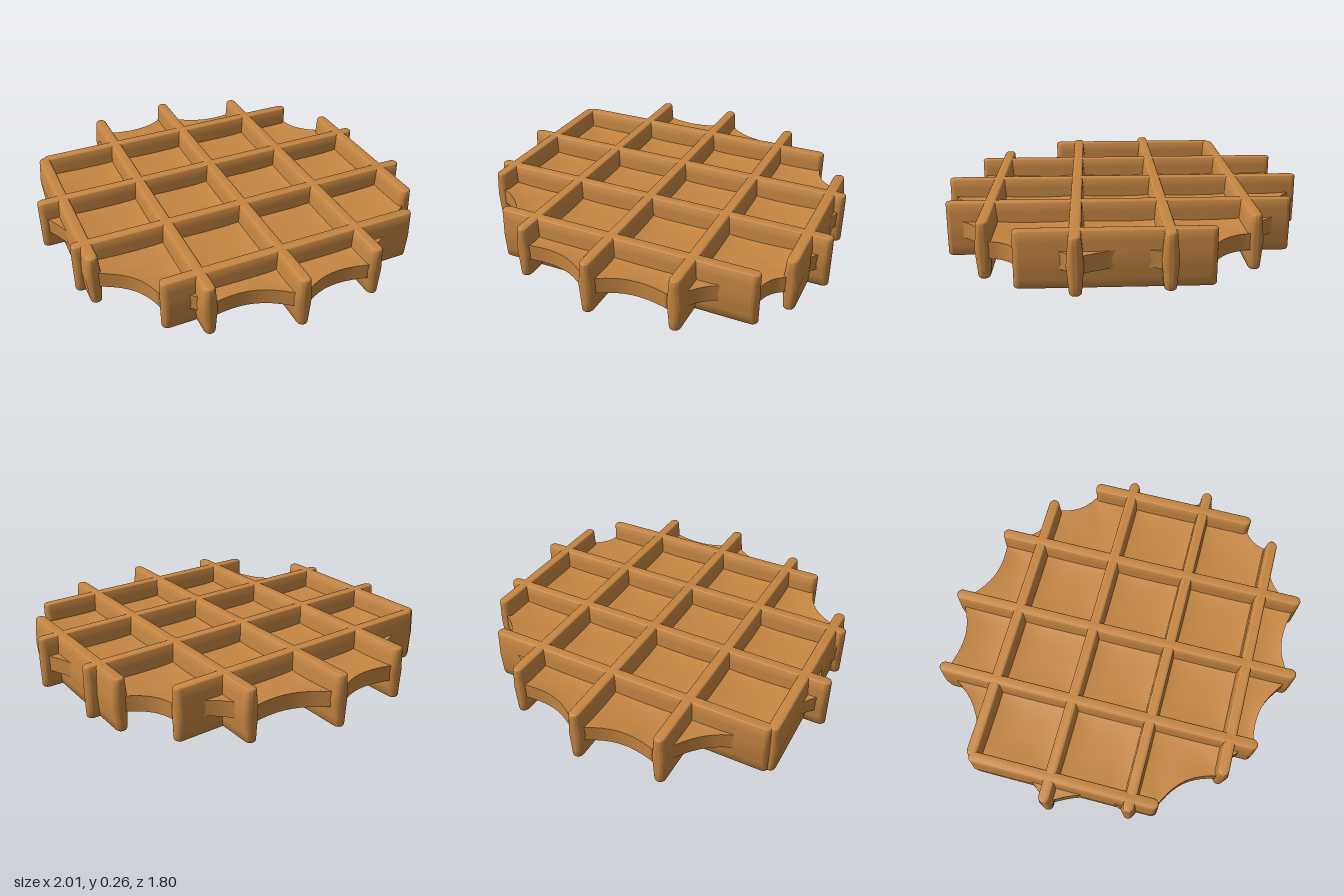
import * as THREE from 'three';
import { toCreasedNormals } from 'three/addons/utils/BufferGeometryUtils.js';
import { ParametricGeometry } from 'three/addons/geometries/ParametricGeometry.js';

const HEIGHT = 0.265, LOW = 0.095, HIGH = 0.175;   // rib height, slab bottom and top
const PITCH = 0.41, RIB = 0.03;                    // rib spacing and half width
const COS = 0.653, SIN = 0.757;                    // turn of the rib lattice

// Lattice coordinates (u, v) to plan (x, z)
const plan = (u, v) => new THREE.Vector2(COS * u + SIN * v, SIN * u - COS * v);

// Ribs along u: [v, from, to]; ribs along v: [u, from, to]
const longRibs = [[0.83, -0.38, 0.51], [0.42, -0.80, 0.86], [0.01, -0.93, 0.91],
  [-0.40, -0.885, 0.79], [-0.81, -0.59, 0.38]];
const crossRibs = [[-0.58, -0.81, 0.69], [-0.17, -0.94, 0.91], [0.24, -0.88, 0.95], [0.65, -0.59, 0.74]];

const spans = [
  ...longRibs.map(([v, a, b]) => ['longRib', plan(a, v), plan(b, v)]),
  ...crossRibs.map(([u, a, b]) => ['crossRib', plan(u, a), plan(u, b)]),
];

// Round-ended upright rib, slightly thicker where it meets the slab
function ribGeometry(length) {
  const bevel = 0.01, r = RIB - bevel, h = length / 2 - RIB;
  const shape = new THREE.Shape();
  shape.moveTo(-h, -r);
  shape.lineTo(h, -r);
  shape.absarc(h, 0, r, -Math.PI / 2, Math.PI / 2, false);
  shape.lineTo(-h, r);
  shape.absarc(-h, 0, r, Math.PI / 2, Math.PI * 1.5, false);
  const geo = new THREE.ExtrudeGeometry(shape, {
    depth: HEIGHT - 2 * bevel, steps: 6, curveSegments: 8,
    bevelSize: bevel, bevelThickness: bevel, bevelSegments: 3,
  });
  geo.translate(0, 0, bevel).rotateX(-Math.PI / 2);
  const p = geo.attributes.position;
  for (let i = 0; i < p.count; i++) {
    const away = Math.abs(p.getY(i) - HEIGHT / 2) / (HEIGHT / 2);
    p.setZ(i, p.getZ(i) * (1.3 - 0.4 * away));
  }
  return toCreasedNormals(geo, 0.7);
}

// Scalloped outline: sagging arcs between neighbouring rib tips
const tips = spans.flatMap(([, a, b]) => [a, b])
  .map((p) => p.clone().multiplyScalar(1 - 0.015 / p.length()))
  .sort((a, b) => a.angle() - b.angle())
  .filter((p, i, all) => i === 0 || p.distanceTo(all[i - 1]) > 0.05);

function outline(t) {
  const f = Math.min(Math.max(t, 0), 1) * tips.length;
  const i = Math.min(Math.floor(f), tips.length - 1), k = f - i;
  const a = tips[i], b = tips[(i + 1) % tips.length];
  const p = a.clone().lerp(b, k);
  const sag = 0.14 * a.distanceTo(b) * 4 * k * (1 - k);
  return p.multiplyScalar(1 - sag / p.length());
}

// Shallow dish in every lattice cell, level again at the rim
function dish(x, z, s) {
  const cell = (w, origin) => {
    const q = (w - origin) / PITCH;
    return 2 * Math.abs(q - Math.floor(q) - 0.5);
  };
  const du = cell(COS * x + SIN * z, -0.58), dv = cell(SIN * x - COS * z, 0.01);
  const depth = 0.02 * (1 - du * du * du) * (1 - dv * dv * dv);
  return depth * (1 - Math.pow(s, 10));
}

function slabFace(top) {
  return new ParametricGeometry((u, t, target) => {
    const s = 0.002 + 0.998 * u;
    const p = outline(top ? 1 - t : t).multiplyScalar(s);
    const d = dish(p.x, p.y, s);
    target.set(p.x, top ? HIGH - d : LOW + d, p.y);
  }, 40, tips.length * 10);
}

export function createModel() {
  const group = new THREE.Group();
  group.name = 'waffle';
  const material = new THREE.MeshStandardMaterial({ color: 0xc68642 });
  const add = (name, geo) => {
    const mesh = new THREE.Mesh(geo, material);
    mesh.name = name;
    group.add(mesh);
    return mesh;
  };

  // Slab with dished cells and a scalloped edge
  add('slabTop', slabFace(true));
  add('slabBottom', slabFace(false));
  add('slabRim', new ParametricGeometry((u, t, target) => {
    const p = outline(t);
    target.set(p.x, LOW + (HIGH - LOW) * u, p.y);
  }, 2, tips.length * 10));

  // Crossing ribs
  for (const [name, a, b] of spans) {
    const rib = add(name, ribGeometry(a.distanceTo(b)));
    rib.position.set((a.x + b.x) / 2, 0, (a.y + b.y) / 2);
    rib.rotation.y = -Math.atan2(b.y - a.y, b.x - a.x);
  }
  return group;
}
